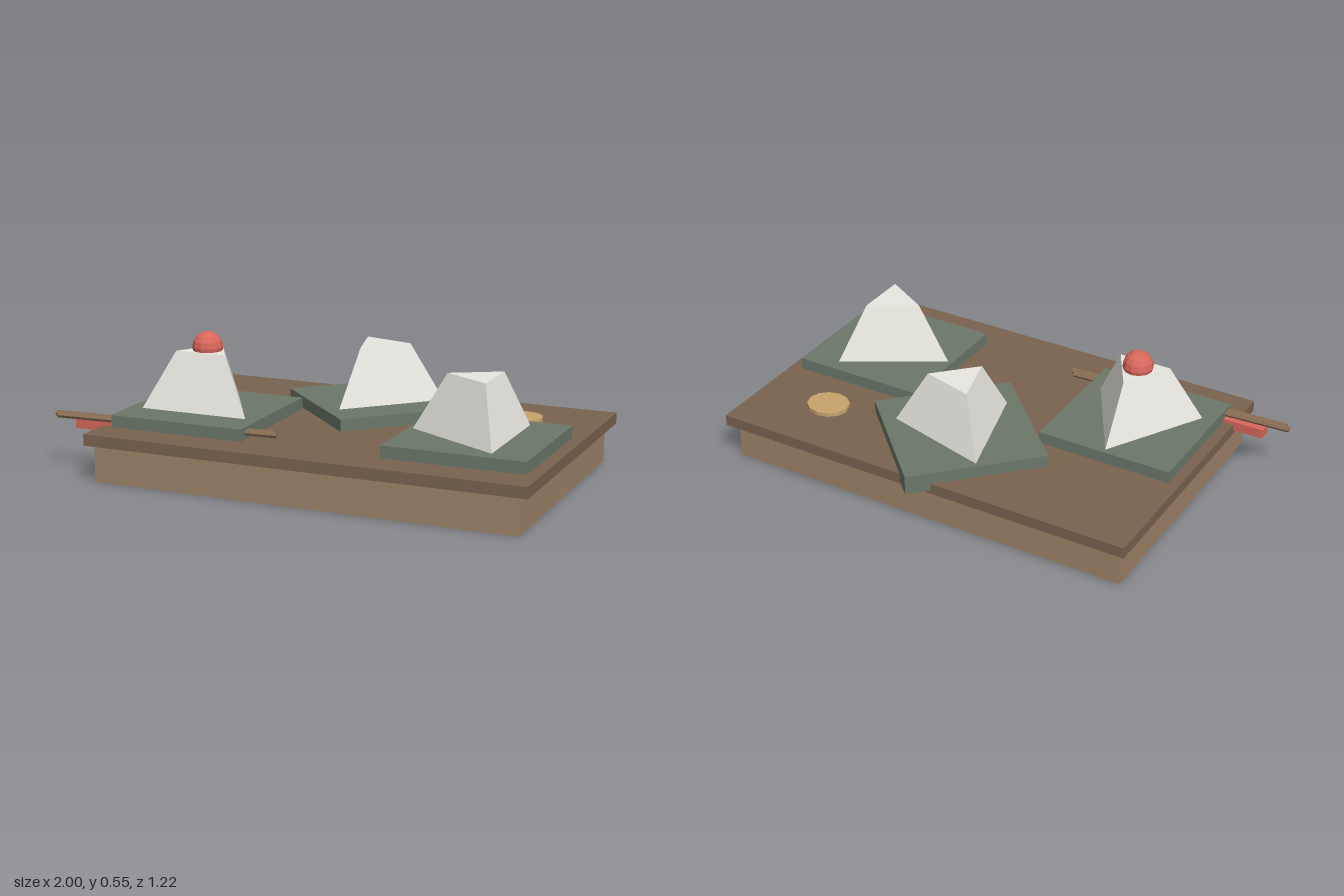
import * as THREE from 'three';

const mat = (color) => new THREE.MeshStandardMaterial({ color, flatShading: true });

export function createModel() {
  const model = new THREE.Group();
  const wood = mat(0x9e8368), darkWood = mat(0x7a6350), slate = mat(0x6c786a);
  const rice = mat(0xe8e7e0), red = mat(0xd9675c), gold = mat(0xc8a46c), stickWood = mat(0x8a6e54);

  const add = (parent, name, geometry, material, x, y, z) => {
    const mesh = new THREE.Mesh(geometry, material);
    mesh.name = name;
    mesh.position.set(x, y, z);
    parent.add(mesh);
    return mesh;
  };
  // box given by its limits on each axis
  const block = (name, material, [x0, x1], [y0, y1], [z0, z1]) =>
    add(model, name, new THREE.BoxGeometry(x1 - x0, y1 - y0, z1 - z0), material,
      (x0 + x1) / 2, (y0 + y1) / 2, (z0 + z1) / 2);

  // tray: body and overhanging top
  block('trayBody', wood, [-0.75, 0.963], [0, 0.15], [-0.508, 0.582]);
  block('trayTop', darkWood, [-0.78, 1.0], [0.149, 0.194], [-0.543, 0.611]);

  // three square plates, each with a truncated triangular pyramid
  const servings = [
    { name: 'leftServing', x: -0.457, z: 0.19, plateTurn: 0, riceTurn: Math.PI },
    { name: 'backServing', x: 0.106, z: -0.217, plateTurn: Math.PI / 4, riceTurn: -Math.PI / 12 },
    { name: 'rightServing', x: 0.67, z: 0.19, plateTurn: 0, riceTurn: -Math.PI / 2 },
  ];
  for (const s of servings) {
    const group = new THREE.Group();
    group.name = s.name;
    group.position.set(s.x, 0, s.z);
    add(group, 'plate', new THREE.BoxGeometry(0.56, 0.078, 0.56), slate, 0, 0.203, 0)
      .rotation.y = s.plateTurn;
    add(group, 'pyramid', new THREE.CylinderGeometry(0.124, 0.261, 0.228, 3), rice, 0, 0.355, 0)
      .rotation.y = s.riceTurn;
    model.add(group);
  }

  // red ball on the left pyramid
  add(model, 'ball', new THREE.SphereGeometry(0.061, 12, 8), red, -0.457, 0.484, 0.19);

  // small oval dish
  add(model, 'dish', new THREE.CylinderGeometry(0.088, 0.088, 0.03, 12), gold, 0.685, 0.195, -0.28)
    .scale.z = 0.9;

  // pair of sticks lying on a red rest
  const sticks = [
    [new THREE.Vector3(-0.999, 0.22, 0.446), new THREE.Vector3(-0.07, 0.22, 0.397)],
    [new THREE.Vector3(-0.98, 0.218, 0.464), new THREE.Vector3(-0.05, 0.22, 0.418)],
  ];
  for (const [a, b] of sticks) {
    const mid = a.clone().lerp(b, 0.5), dir = b.clone().sub(a);
    add(model, 'stick', new THREE.CylinderGeometry(0.012, 0.012, dir.length(), 6), stickWood, mid.x, mid.y, mid.z)
      .quaternion.setFromUnitVectors(new THREE.Vector3(0, 1, 0), dir.normalize());
  }
  block('stickRest', red, [-0.905, -0.72], [0.17, 0.208], [0.405, 0.458]);

  return model;
}
